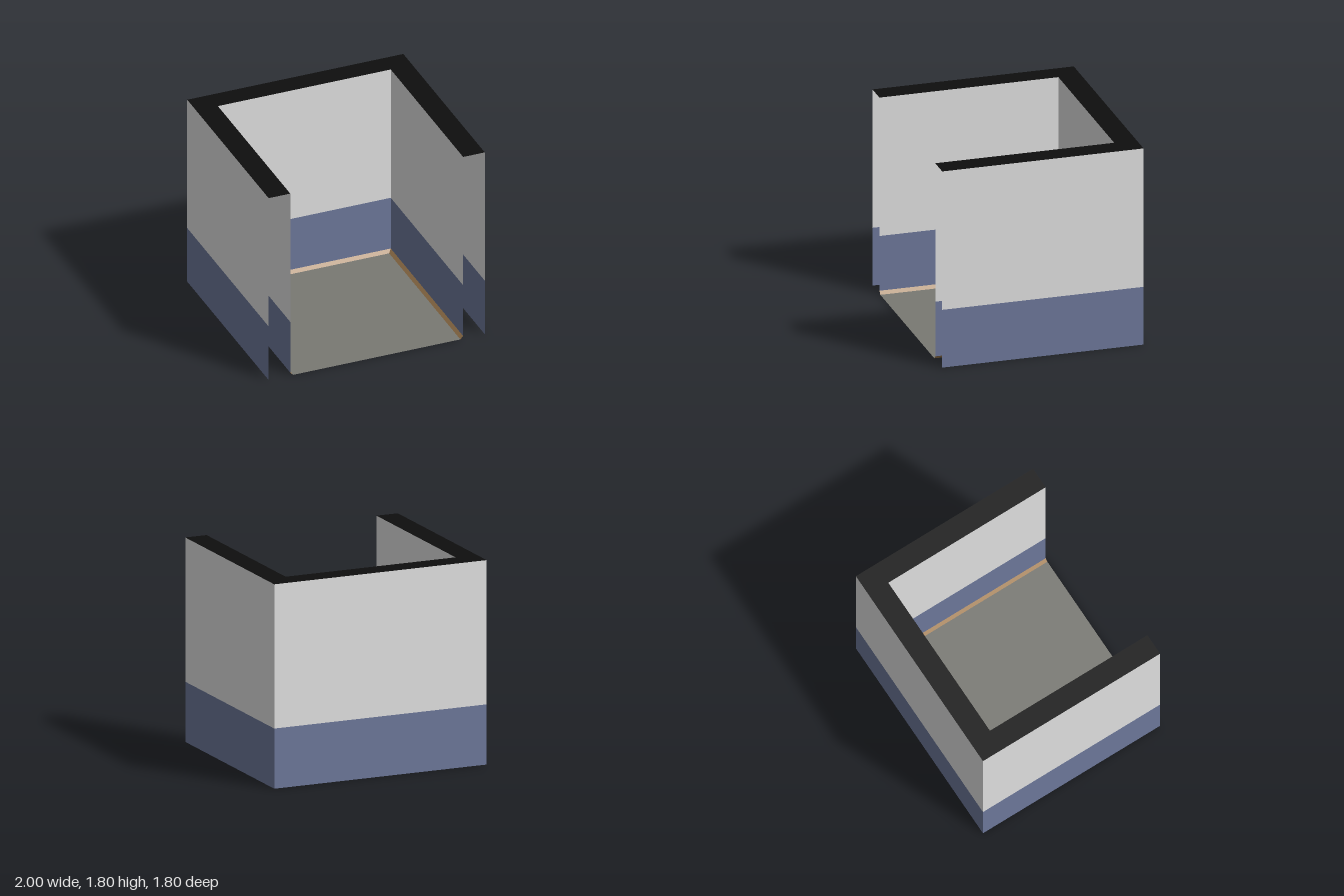
import * as THREE from 'three';

const material = (name, color) => {
  const m = new THREE.MeshStandardMaterial({ color, side: THREE.DoubleSide });
  m.name = name;
  return m;
};

// U-shaped paths in plan (x, z), open towards the front
const FRONT = 0.9;
const uPath = (halfWidth, back) => [
  [-halfWidth, FRONT], [-halfWidth, back], [halfWidth, back], [halfWidth, FRONT],
];
const OUTER = uPath(1, -0.9);
const INNER = uPath(0.8, -0.7);
const FLOOR = uPath(0.774, -0.674);

// Flat-shaded band of quads between path a at height ya and path b at height yb
function band(a, ya, b, yb) {
  const pos = [];
  for (let i = 0; i < a.length - 1; i++) {
    const a0 = [a[i][0], ya, a[i][1]], a1 = [a[i + 1][0], ya, a[i + 1][1]];
    const b0 = [b[i][0], yb, b[i][1]], b1 = [b[i + 1][0], yb, b[i + 1][1]];
    pos.push(...a0, ...a1, ...b1, ...a0, ...b1, ...b0);
  }
  const g = new THREE.BufferGeometry();
  g.setAttribute('position', new THREE.Float32BufferAttribute(pos, 3));
  g.computeVertexNormals();
  return g;
}

export function createModel() {
  const group = new THREE.Group();
  group.name = 'room';
  const paint = material('pale grey paint', 0xe3e3e3);
  const blue = material('blue paint', 0x6e799c);
  const black = material('black cap', 0x0e0e0e);
  const wood = material('brown wood', 0xa07c50);
  const stone = material('grey floor', 0x797973);

  const add = (name, geometry, mat) => {
    const mesh = new THREE.Mesh(geometry, mat);
    mesh.name = name;
    group.add(mesh);
  };

  const TOP = 1.8, SPLIT = 0.53, SKIRT = 0.028;

  // Hollow walls: an outer and an inner skin, blue below and grey above.
  // Reversed outer paths make the faces point outwards.
  const outside = [...OUTER].reverse();
  add('outerWallLower', band(outside, 0, outside, SPLIT), blue);
  add('outerWallUpper', band(outside, SPLIT, outside, TOP), paint);
  add('innerWallLower', band(INNER, SKIRT, INNER, SPLIT), blue);
  add('innerWallUpper', band(INNER, SPLIT, INNER, TOP), paint);

  // Cap joining both skins along the top
  add('wallCap', band(INNER, TOP, OUTER, TOP), black);

  // Sloped skirting between the inner skin and the floor
  add('skirting', band(FLOOR, 0, INNER, SKIRT), wood);

  // Floor panel
  const back = FLOOR[1][1];
  const floor = new THREE.PlaneGeometry(FLOOR[2][0] * 2, FRONT - back);
  floor.rotateX(-Math.PI / 2).translate(0, 0, (FRONT + back) / 2);
  add('floor', floor, stone);

  return group;
}
